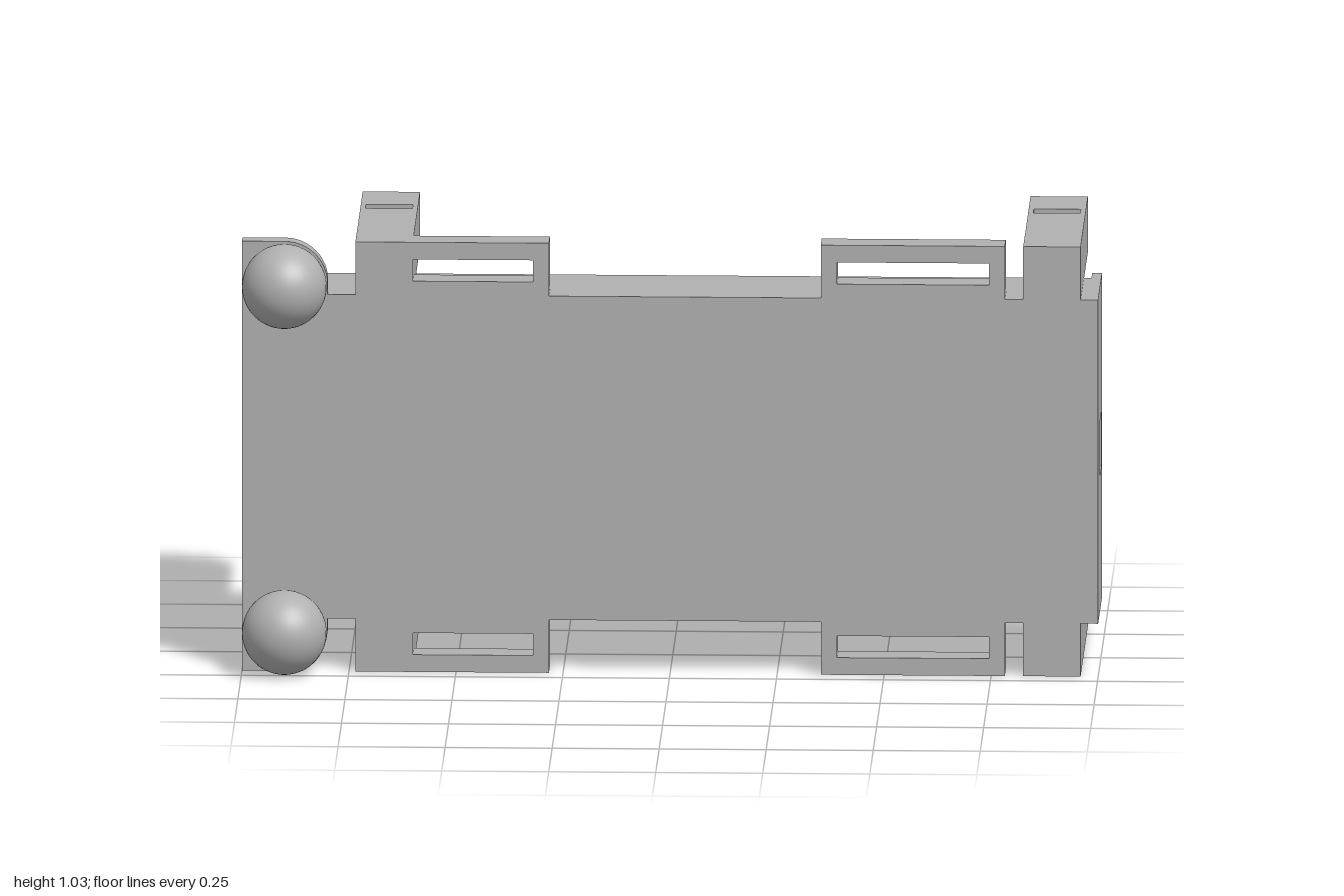
import * as THREE from 'three';
import { toCreasedNormals } from 'three/addons/utils/BufferGeometryUtils.js';

const MID = 0.517; // height of the horizontal mirror plane
const TOP = 0.3875; // half height of the tray
const EDGE = 0.514; // half height of the whole bracket

function rect(Type, x0, x1, y0, y1) {
  const s = new Type();
  s.moveTo(x0, y0);
  s.lineTo(x1, y0);
  s.lineTo(x1, y1);
  s.lineTo(x0, y1);
  s.closePath();
  return s;
}

// Extrude a front outline from z0 to z1
function extrudeZ(shape, z0, z1) {
  const g = new THREE.ExtrudeGeometry(shape, { depth: z1 - z0, bevelEnabled: false, curveSegments: 28 });
  g.translate(0, 0, z0);
  return toCreasedNormals(g, 0.5);
}

// Extrude a side outline, drawn as (-z, y), from x0 to x1
function extrudeX(shape, x0, x1) {
  const g = new THREE.ExtrudeGeometry(shape, { depth: x1 - x0, bevelEnabled: false, curveSegments: 36 });
  g.rotateY(Math.PI / 2);
  g.translate(x0, 0, 0);
  return toCreasedNormals(g, 0.5);
}

export function createModel() {
  const grey = new THREE.MeshStandardMaterial({ color: 0xb0b0b0 });
  grey.name = 'plain grey';
  const model = new THREE.Group();
  model.name = 'cellHolder';
  const add = (name, geometry) => {
    const m = new THREE.Mesh(geometry, grey);
    m.name = name;
    m.position.y = MID;
    model.add(m);
    return m;
  };

  // Tray with two round channels open to the back
  const r = 0.182, c = 0.19, u = 0.01;
  const a = Math.acos(-0.11 / r);
  const tray = new THREE.Shape();
  tray.moveTo(-0.2, -TOP);
  tray.lineTo(0.03, -TOP);
  tray.lineTo(0.03, -c - r);
  tray.absarc(u, -c, r, -Math.PI / 2, a, true);
  tray.absarc(u, c, r, -a, Math.PI / 2, true);
  tray.lineTo(0.03, c + r);
  tray.lineTo(0.03, TOP);
  tray.lineTo(-0.2, TOP);
  tray.closePath();
  add('channelTray', extrudeX(tray, -0.9, 0.977));

  // End walls with square contact windows
  for (const [name, x0, x1] of [['rightEndWall', -0.922, -0.9], ['leftEndWall', 0.977, 1]]) {
    const wall = rect(THREE.Shape, -0.2, 0.087, -TOP, TOP);
    wall.holes.push(rect(THREE.Path, -0.08, 0.055, 0.45 - MID, 0.584 - MID));
    add(name, extrudeX(wall, x0, x1));
  }

  // Ball plate: square outer corners, round inner corners
  const ballY = 0.414;
  const plate = new THREE.Shape();
  plate.moveTo(-1, -EDGE);
  plate.lineTo(-0.9, -EDGE);
  plate.absarc(-0.9, -ballY, 0.1, -Math.PI / 2, 0, false);
  plate.absarc(-0.9, ballY, 0.1, 0, Math.PI / 2, false);
  plate.lineTo(-1, EDGE);
  plate.closePath();
  add('ballPlate', extrudeZ(plate, 0.16, 0.2));

  for (const s of [1, -1]) {
    const level = s > 0 ? 'upper' : 'lower';
    const span = (Type, x0, x1, y0, y1) =>
      rect(Type, x0, x1, Math.min(s * y0, s * y1), Math.max(s * y0, s * y1));

    // Balls
    const ball = add(level + 'Ball', new THREE.SphereGeometry(0.099, 40, 28));
    ball.position.set(-0.9, MID + s * ballY, 0.235);

    // Strap loops
    for (const [x0, x1, h0, h1] of [[-0.735, -0.283, -0.603, -0.32], [0.352, 0.782, 0.39, 0.745]]) {
      const loop = span(THREE.Shape, x0, x1, TOP - 0.002, EDGE);
      loop.holes.push(span(THREE.Path, h0, h1, 0.421, 0.473));
      add(level + 'StrapLoop', extrudeZ(loop, 0.13, 0.2));
    }

    // Mounting arms with a screw hole in the end and a nut slot
    for (const x of [-0.668, 0.892]) {
      const w = 0.067, y0 = 0.382;
      const screw = (shape) => {
        const hole = new THREE.Path();
        hole.absarc(x, s * 0.448, 0.03, 0, Math.PI * 2, true);
        shape.holes.push(hole);
        return shape;
      };
      const full = () => span(THREE.Shape, x - w, x + w, y0, EDGE);
      const cup = new THREE.Shape();
      [[-w, y0], [w, y0], [w, EDGE], [0.055, EDGE], [0.055, 0.405], [-0.055, 0.405], [-0.055, EDGE], [-w, EDGE]]
        .forEach(([dx, y], i) => (i ? cup.lineTo(x + dx, s * y) : cup.moveTo(x + dx, s * y)));
      cup.closePath();
      add(level + 'ArmTip', extrudeZ(screw(full()), -0.335, -0.2));
      add(level + 'ArmNutSlot', extrudeZ(cup, -0.2, -0.158));
      add(level + 'ArmHoleEnd', extrudeZ(screw(full()), -0.158, -0.1));
      add(level + 'Arm', extrudeZ(full(), -0.1, 0.2));
    }
  }
  return model;
}
